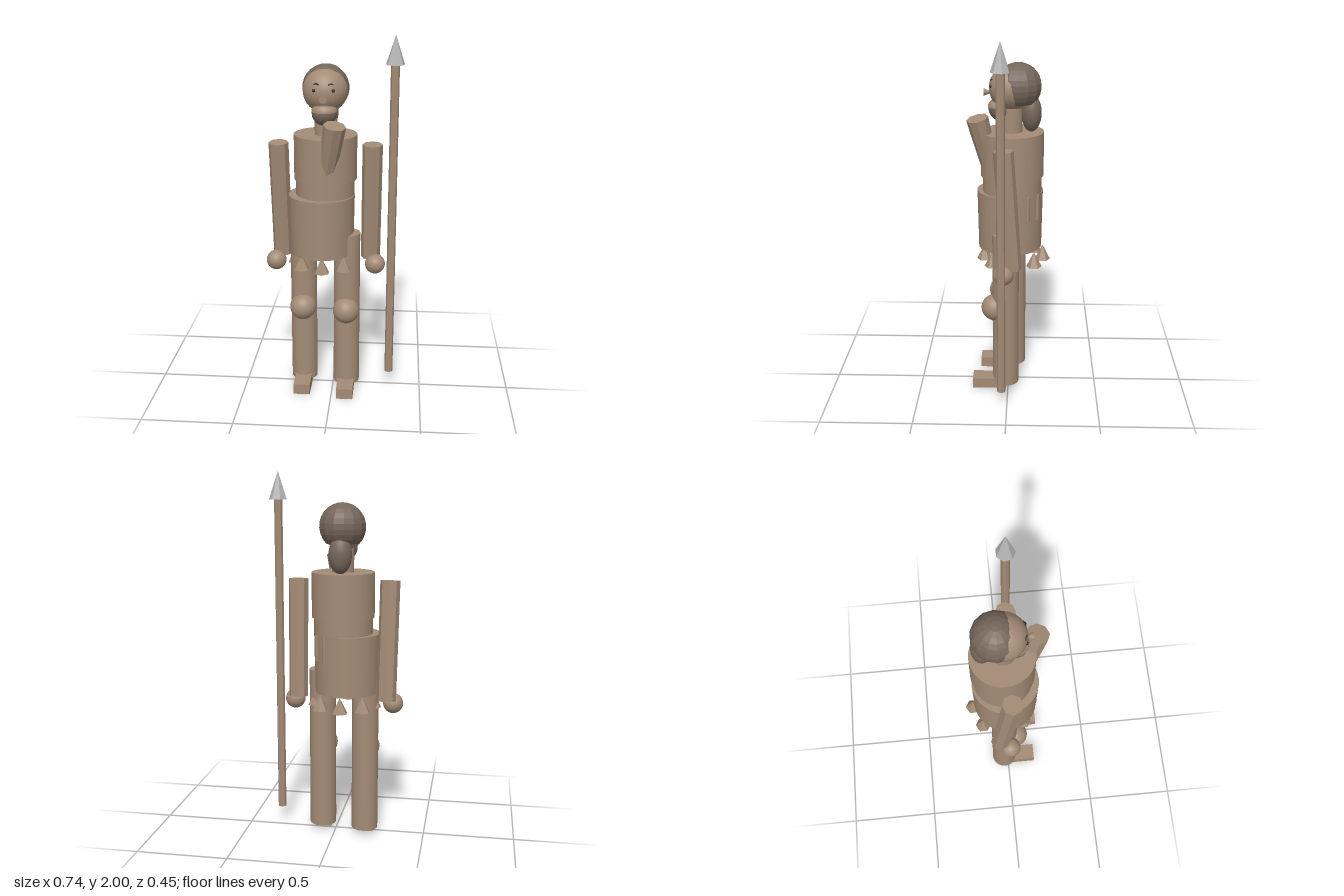
import * as THREE from 'three';

export function createModel() {
  const model = new THREE.Group();
  model.name = 'spearFigure';
  const material = (name, color) => {
    const m = new THREE.MeshStandardMaterial({ color });
    m.name = name;
    return m;
  };
  const tan = material('tan', 0xa38b75);
  const dark = material('darkBrown', 0x75665a);
  const steel = material('steel', 0xb4b4b4);
  const black = material('nearBlack', 0x3a322c);

  const add = (name, geometry, mat, x, y, z) => {
    const mesh = new THREE.Mesh(geometry, mat);
    mesh.name = name;
    mesh.position.set(x, y, z);
    model.add(mesh);
    return mesh;
  };
  // Facet a geometry so its sides shade flat
  const faceted = (geometry) => {
    const g = geometry.toNonIndexed();
    g.computeVertexNormals();
    return g;
  };
  const ball = (name, r, x, y, z, mat = tan) =>
    add(name, new THREE.SphereGeometry(r, 28, 20), mat, x, y, z);
  const drum = (name, rTop, rBottom, y0, y1, x, z) =>
    add(name, new THREE.CylinderGeometry(rTop, rBottom, y1 - y0, 32), tan, x, (y0 + y1) / 2, z);
  // Faceted rod between two points
  const rod = (name, a, b, rTop, rBottom, sides) => {
    const top = new THREE.Vector3(...a), bottom = new THREE.Vector3(...b);
    const axis = top.clone().sub(bottom);
    const mid = top.clone().add(bottom).multiplyScalar(0.5);
    const mesh = add(name, faceted(new THREE.CylinderGeometry(rTop, rBottom, axis.length(), sides)), tan, mid.x, mid.y, mid.z);
    mesh.quaternion.setFromUnitVectors(new THREE.Vector3(0, 1, 0), axis.normalize());
    return mesh;
  };

  // Torso
  drum('hips', 0.18, 0.174, 0.815, 1.143, -0.063, -0.008);
  drum('waist', 0.16, 0.16, 1.143, 1.23, -0.045, -0.02);
  drum('chest', 0.17, 0.17, 1.23, 1.473, -0.043, -0.02);
  drum('neck', 0.06, 0.06, 1.46, 1.63, -0.04, -0.015);

  // Two narrow ribs on the back of the hips
  for (const [x, z] of [[0.085, -0.107], [0.035, -0.157]])
    add('hipRib', new THREE.CylinderGeometry(0.011, 0.011, 0.14, 8), tan, x, 1.07, z);

  // Ring of small hanging cones under the hips
  for (let i = 0; i < 8; i++) {
    const a = i * Math.PI / 4;
    add('skirtCone', faceted(new THREE.ConeGeometry(0.043, 0.085, 6)), tan,
      -0.052 + 0.162 * Math.sin(a), 0.777, -0.028 + 0.162 * Math.cos(a));
  }

  // Legs, knees and feet: the left side steps slightly forward
  for (const [side, x, z, top] of [['left', 0.077, 0.013, 0.93], ['right', -0.167, -0.022, 0.93]]) {
    drum(side + 'Leg', 0.073, 0.073, 0.03, top, x, z);
    ball(side + 'Knee', 0.073, x, 0.49, z + 0.062);
    add(side + 'Foot', new THREE.BoxGeometry(0.092, 0.06, 0.19), tan, x, 0.03, z + 0.092);
  }

  // Hanging arms and hands
  rod('rightArm', [-0.293, 1.428, 0.008], [-0.286, 0.78, -0.055], 0.054, 0.053, 8);
  rod('leftArm', [0.211, 1.428, 0.02], [0.206, 0.78, -0.025], 0.054, 0.053, 8);
  ball('rightHand', 0.055, -0.318, 0.753, 0.0);
  ball('leftHand', 0.055, 0.233, 0.753, 0.02);

  // Raised piece across the chest
  rod('raisedForearm', [0.02, 1.555, 0.163], [-0.045, 1.17, 0.075], 0.06, 0.04, 8);

  // Head, hair cap and bun
  const hx = -0.043, hy = 1.706, hz = -0.015, r = 0.119;
  ball('head', r, hx, hy, hz);
  add('hairCap', faceted(new THREE.SphereGeometry(0.125, 14, 10, 0, Math.PI * 2, 0, Math.PI * 0.75)),
    dark, hx, hy - 0.001 + 0.01, hz - 0.036);
  ball('hairBun', 0.1, hx, 1.572, -0.122, dark).scale.set(0.62, 1, 0.54);

  // Beard with the lip above it
  ball('beard', 0.067, hx, 1.597, 0.04, dark);
  const lip = add('lip', new THREE.SphereGeometry(0.068, 24, 10, 0, Math.PI * 2, 0, Math.PI / 2), tan, hx, 1.605, 0.042);
  lip.scale.y = 0.75;

  // Nose: a small cone with its base forward
  add('nose', new THREE.ConeGeometry(0.02, 0.05, 12), tan, hx, 1.682, 0.106).rotation.x = -Math.PI / 2;

  // Eyes and brows on the surface of the head
  for (const s of [-1, 1]) {
    ball('eye', 0.009, hx + s * 0.05, 1.722, 0.09, black);
    const points = [0.024, 0.036, 0.05].map((dx, i) => {
      const dy = [0.043, 0.05, 0.046][i];
      return new THREE.Vector3(hx + s * dx, hy + dy, hz + Math.sqrt(r * r - dx * dx - dy * dy));
    });
    add('brow', new THREE.TubeGeometry(new THREE.CatmullRomCurve3(points), 8, 0.004, 6), black, 0, 0, 0);
  }

  // Spear
  rod('spearShaft', [0.321, 1.86, 0.03], [0.321, 0.1, 0.03], 0.023, 0.023, 8);
  add('spearHead', faceted(new THREE.ConeGeometry(0.05, 0.15, 7)), steel, 0.321, 1.925, 0.03);

  return model;
}
